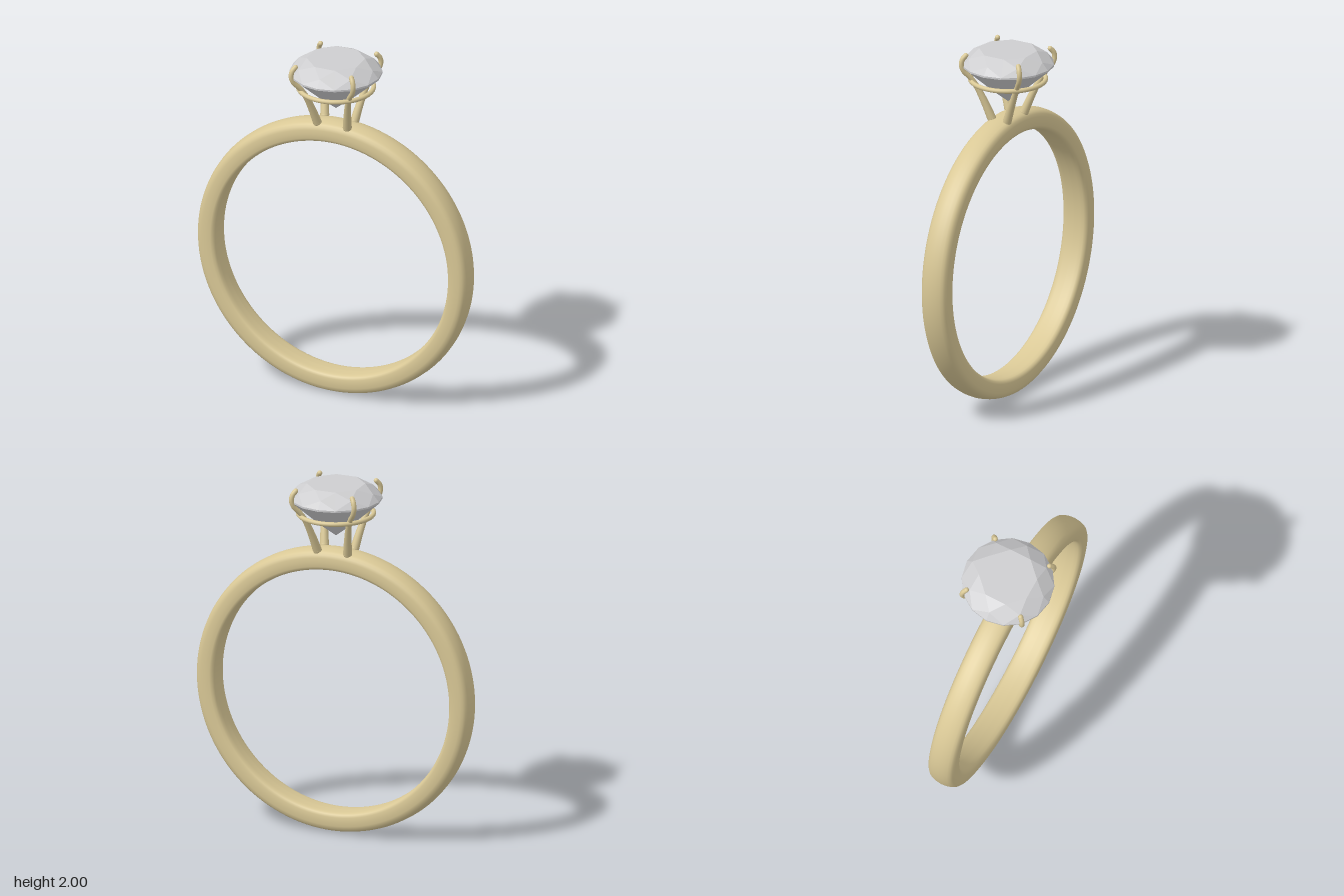
import * as THREE from 'three';

const gold = new THREE.MeshStandardMaterial({ color: 0xd9c896 });
gold.name = 'pale gold';
const stone = new THREE.MeshStandardMaterial({ color: 0xcdcdcf, flatShading: true });
stone.name = 'clear stone';

function add(parent, name, geometry, material) {
  const mesh = new THREE.Mesh(geometry, material);
  mesh.name = name;
  parent.add(mesh);
  return mesh;
}

// Band cross-section (radius, half width): domed outside, softly rounded inside
function bandGeometry() {
  const half = [[0.695, 0], [0.696, 0.04], [0.699, 0.06], [0.706, 0.073], [0.72, 0.079], [0.745, 0.08],
    [0.77, 0.079], [0.787, 0.074], [0.799, 0.064], [0.806, 0.05], [0.812, 0.028], [0.815, 0]];
  const lower = half.map(([r, w]) => new THREE.Vector2(r, -w));
  const upper = half.slice(0, -1).reverse().map(([r, w]) => new THREE.Vector2(r, w));
  return new THREE.LatheGeometry([...lower, ...upper], 128).rotateX(Math.PI / 2);
}

// Round brilliant cut: table, stars, kites and girdle facets repeated eight times
function gemGeometry() {
  const pos = [];
  const p = (step, r, y) => {
    const a = step * Math.PI / 8;
    return [r * Math.sin(a), y, r * Math.cos(a)];
  };
  const tri = (a, b, c) => pos.push(...a, ...b, ...c);
  const top = [0, 2, 0], culet = [0, 1.7, 0];
  const table = s => p(s, 0.16, 2), mid = s => p(s, 0.22, 1.966), low = s => p(s, 0.09, 1.77);
  const rimT = s => p(s, 0.255, 1.925), rimB = s => p(s, 0.255, 1.915);
  for (let i = 0; i < 16; i += 2) {
    const k = i + 1;                              // main facet lies between mids i and i + 2
    tri(top, table(k), table(k + 2));             // table
    tri(table(k), mid(k + 1), table(k + 2));      // star
    tri(table(k), mid(k - 1), rimT(k));           // crown kite
    tri(table(k), rimT(k), mid(k + 1));
    tri(mid(k - 1), rimT(k - 1), rimT(k));        // upper girdle
    tri(mid(k + 1), rimT(k), rimT(k + 1));
    tri(culet, rimB(k), low(k - 1));              // pavilion kite
    tri(culet, low(k + 1), rimB(k));
    tri(low(k - 1), rimB(k), rimB(k - 1));        // lower girdle
    tri(low(k + 1), rimB(k + 1), rimB(k));
    for (const s of [i, i + 1]) {                 // girdle band
      tri(rimB(s), rimB(s + 1), rimT(s + 1));
      tri(rimB(s), rimT(s + 1), rimT(s));
    }
  }
  const geo = new THREE.BufferGeometry();
  geo.setAttribute('position', new THREE.Float32BufferAttribute(pos, 3));
  geo.computeVertexNormals();
  return geo;
}

// Tube that narrows from its start radius to its end radius
function taperedTube(curve, r0, r1, segments = 40, sides = 14) {
  const geo = new THREE.TubeGeometry(curve, segments, r0, sides);
  const pos = geo.attributes.position, v = new THREE.Vector3();
  for (let i = 0; i <= segments; i++) {
    const t = i / segments, c = curve.getPointAt(t);
    const k = THREE.MathUtils.lerp(1, r1 / r0, Math.min(1, t * 1.6));
    for (let j = 0; j <= sides; j++) {
      const n = i * (sides + 1) + j;
      v.fromBufferAttribute(pos, n).sub(c).multiplyScalar(k).add(c);
      pos.setXYZ(n, v.x, v.y, v.z);
    }
  }
  return geo;
}

export function createModel() {
  const ring = new THREE.Group();
  ring.name = 'ring';

  add(ring, 'band', bandGeometry(), gold).position.y = 0.816;
  add(ring, 'gem', gemGeometry(), stone);

  const setting = new THREE.Group();
  setting.name = 'setting';
  ring.add(setting);

  // Hoop under the stone
  const hoop = add(setting, 'hoop', new THREE.TorusGeometry(0.207, 0.013, 14, 72), gold);
  hoop.rotation.x = Math.PI / 2;
  hoop.position.y = 1.832;

  // Four claws rising from the band and curling over the girdle
  for (const sx of [-1, 1]) for (const sz of [-1, 1]) {
    const claw = new THREE.Group();
    claw.name = 'claw';
    setting.add(claw);
    const path = [[0.09, 1.62, 0.05], [0.106, 1.71, 0.084], [0.127, 1.8, 0.122], [0.147, 1.85, 0.147],
      [0.178, 1.9, 0.178], [0.186, 1.935, 0.186], [0.181, 1.965, 0.181], [0.168, 1.986, 0.168]]
      .map(([x, y, z]) => new THREE.Vector3(x * sx, y, z * sz));
    const curve = new THREE.CatmullRomCurve3(path, false, 'centripetal');
    add(claw, 'clawStem', taperedTube(curve, 0.025, 0.014), gold);
    add(claw, 'clawFoot', new THREE.SphereGeometry(0.025, 16, 12), gold).position.copy(path[0]);
    add(claw, 'clawTip', new THREE.SphereGeometry(0.014, 14, 10), gold).position.copy(path[path.length - 1]);
  }
  return ring;
}
